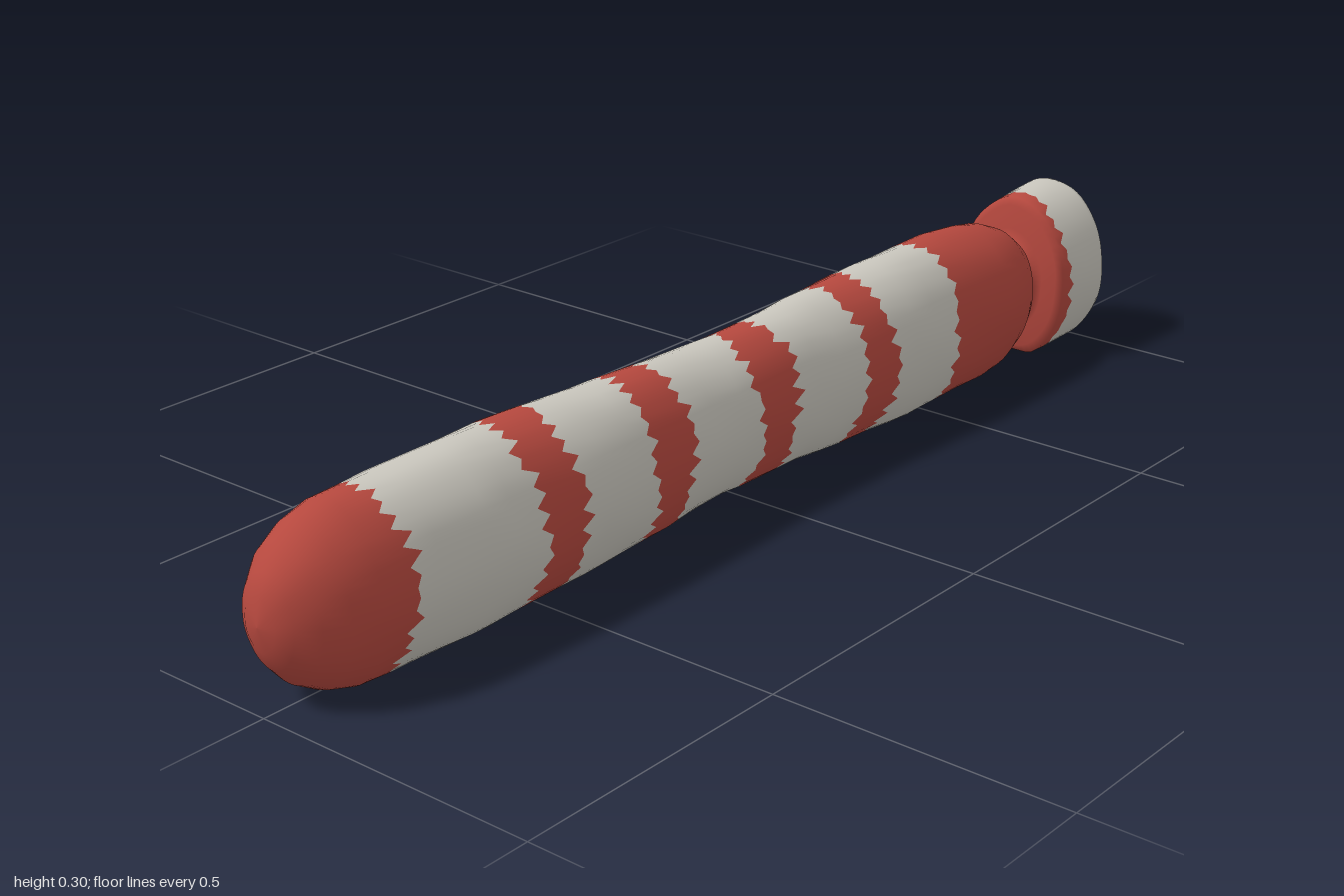
import * as THREE from 'three';

const SIDES = 56;

// Cross-sections from nose to tail: z, half width, bottom, top
const STATIONS = [
  [1, 0, 0.14, 0.14], [0.995, 0.03, 0.1, 0.185], [0.98, 0.053, 0.067, 0.216], [0.95, 0.078, 0.033, 0.248],
  [0.91, 0.095, 0.008, 0.271], [0.86, 0.104, -0.006, 0.284], [0.75, 0.107, -0.01, 0.289], [0.65, 0.111, -0.01, 0.291],
  [0.6, 0.112, -0.01, 0.292], [0.4, 0.107, -0.008, 0.288], [0.33, 0.105, -0.004, 0.285], [0.13, 0.097, 0.006, 0.276],
  [0.06, 0.094, 0.009, 0.273], [-0.14, 0.096, 0.007, 0.277], [-0.2, 0.1, 0, 0.281], [-0.4, 0.107, -0.009, 0.29],
  [-0.46, 0.108, -0.01, 0.292], [-0.6, 0.108, -0.01, 0.291], [-0.69, 0.107, -0.01, 0.286], [-0.74, 0.102, -0.004, 0.278],
  [-0.78, 0.091, 0.015, 0.262], [-0.81, 0.077, 0.035, 0.242], [-0.83, 0.062, 0.057, 0.222], [-0.84, 0.058, 0.063, 0.217],
  [-0.845, 0.072, 0.045, 0.24], [-0.849, 0.1, 0.008, 0.283], [-0.856, 0.112, -0.01, 0.297], [-0.93, 0.115, -0.012, 0.302],
  [-0.98, 0.115, -0.012, 0.304], [-0.992, 0.112, -0.008, 0.301], [-0.998, 0.104, 0.004, 0.29], [-1, 0, 0.148, 0.148],
];

// Where the colour changes, alternating red and white from the nose
const EDGES = [0.8, 0.54, 0.45, 0.28, 0.19, 0.01, -0.08, -0.26, -0.34, -0.53, -0.88];

function makeRandom(seed) {
  return () => {
    seed = (seed * 16807) % 2147483647;
    return seed / 2147483647;
  };
}

// Section values at any z, interpolated between stations
function sectionAt(z) {
  let i = 0;
  while (i < STATIONS.length - 2 && STATIONS[i + 1][0] > z) i++;
  const a = STATIONS[i], b = STATIONS[i + 1];
  const t = (a[0] - z) / (a[0] - b[0]);
  return a.map((v, k) => v + (b[k] - v) * t);
}

// Point on the slightly lumpy oval, flattened where it rests on the ground
function surfacePoint(z, angle) {
  const [, halfWidth, bottom, top] = sectionAt(z);
  const lump = 1 + 0.009 * Math.sin(3 * angle + 17 * z) + 0.007 * Math.sin(5 * angle - 29 * z)
    + 0.004 * Math.sin(9 * angle + 53 * z);
  const x = Math.cos(angle) * halfWidth * lump;
  const y = (top + bottom) / 2 + Math.sin(angle) * (top - bottom) / 2 * lump;
  return [x, Math.max(y, 0), z];
}

export function createModel() {
  const red = new THREE.MeshStandardMaterial({ color: 0xb5483e });
  red.name = 'red';
  const white = new THREE.MeshStandardMaterial({ color: 0xc8c5bc });
  white.name = 'offWhite';

  // Plain rows at the stations, ragged rows at the colour changes
  const rows = [
    ...STATIONS.map((s) => ({ z: s[0], ragged: false })),
    ...EDGES.map((z) => ({ z, ragged: true })),
  ].sort((a, b) => b.z - a.z);

  const random = makeRandom(4711);
  const positions = [];
  for (const row of rows) {
    const phase = random() * 6;
    for (let i = 0; i < SIDES; i++) {
      const angle = (i / SIDES) * Math.PI * 2;
      let z = row.z;
      if (row.ragged) {
        const tooth = (i % 2 ? 1 : -1) * random() * 0.017;
        const size = row.z < -0.8 ? 0.75 : 1;
        z += size * (tooth + 0.007 * Math.sin(3 * angle + phase));
      }
      positions.push(...surfacePoint(z, angle));
    }
  }

  // Skin between the rows, one material group per colour band
  const geometry = new THREE.BufferGeometry();
  const index = [];
  let start = 0;
  let band = 0;
  const closeBand = () => {
    geometry.addGroup(start, index.length - start, band % 2);
    start = index.length;
    band++;
  };
  for (let r = 0; r < rows.length - 1; r++) {
    if (rows[r].ragged) closeBand();
    for (let i = 0; i < SIDES; i++) {
      const j = (i + 1) % SIDES;
      const a = r * SIDES + i, b = r * SIDES + j;
      const c = a + SIDES, d = b + SIDES;
      index.push(a, c, b, c, d, b);
    }
  }
  closeBand();

  geometry.setAttribute('position', new THREE.Float32BufferAttribute(positions, 3));
  geometry.setIndex(index);
  geometry.computeVertexNormals();

  const body = new THREE.Mesh(geometry, [red, white]);
  body.name = 'stripedBodyWithEndKnob';

  const model = new THREE.Group();
  model.name = 'stripedFloat';
  model.add(body);
  return model;
}
